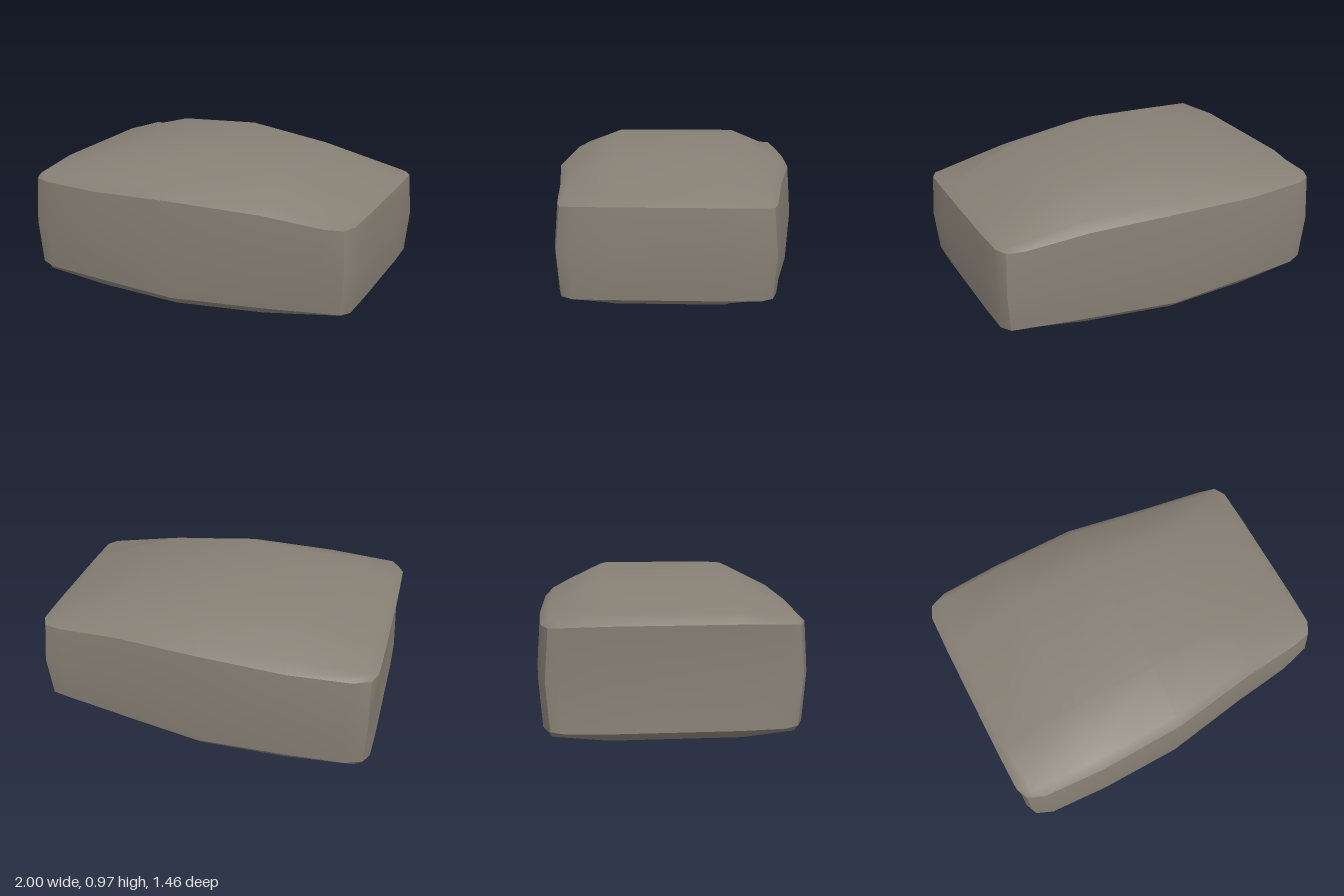
import * as THREE from 'three';

const TOP = 0.975; // overall height, used to mirror the crown downward

// Half cross-sections along x: rim, shoulder and crown points [x, y, z]
const SECTIONS = [
  [[-0.965, 0.76, 0.65], [-0.995, 0.765, 0.58], [-1, 0.77, 0.34]],
  [[-0.87, 0.76, 0.69], [-0.92, 0.80, 0.64], [-0.95, 0.82, 0.35]],
  [[-0.52, 0.76, 0.71], [-0.52, 0.82, 0.655], [-0.52, 0.94, 0.365]],
  [[-0.02, 0.78, 0.70], [-0.02, 0.83, 0.65], [-0.02, 0.972, 0.365]],
  [[0.49, 0.76, 0.62], [0.49, 0.81, 0.57], [0.49, 0.92, 0.32]],
  [[0.84, 0.73, 0.58], [0.90, 0.75, 0.53], [0.93, 0.765, 0.29]],
  [[0.94, 0.73, 0.555], [0.975, 0.735, 0.49], [0.98, 0.735, 0.28]],
];

const flipY = ([x, y, z]) => [x, TOP - y, z];
const flipZ = ([x, y, z]) => [x, y, -z];

// Smooth panel from a grid of points; separate panels keep the edges between them sharp
function panel(name, rows, material) {
  const n = rows[0].length;
  const index = [];
  for (let v = 0; v < rows.length - 1; v++) {
    for (let u = 0; u < n - 1; u++) {
      const a = v * n + u, b = a + n;
      index.push(a, b, a + 1, b, b + 1, a + 1);
    }
  }
  const geometry = new THREE.BufferGeometry();
  geometry.setAttribute('position', new THREE.Float32BufferAttribute(rows.flat(2), 3));
  geometry.setIndex(index);
  geometry.computeVertexNormals();
  const mesh = new THREE.Mesh(geometry, material);
  mesh.name = name;
  return mesh;
}

// Wall rows: upper rim, bulged middle, lower rim
function wallRows(rim, bulge) {
  const middle = rim.map((p) => {
    const [x, , z] = bulge(p);
    return [x, TOP / 2, z];
  });
  return [rim, middle, rim.map(flipY)];
}

export function createModel() {
  const group = new THREE.Group();
  group.name = 'roundedBlock';
  const material = new THREE.MeshStandardMaterial({ color: 0x867f74 });

  // Domed top, rows running from back rim to front rim, and its mirror below
  const half = [0, 1, 2].map((i) => SECTIONS.map((s) => s[i]));
  const dome = [...half.map((row) => row.map(flipZ)), ...half.slice().reverse()];
  group.add(panel('topDome', dome, material));
  group.add(panel('bottomDome', dome.map((row) => row.map(flipY)).reverse(), material));

  // The walls lean slightly to +x and outward at mid height
  const bulge = ([x, y, z]) => {
    const shift = Math.abs(x) > 0.93 ? (x > 0 ? 0.018 : -0.008) : 0;
    const endShift = x < -0.97 ? 0.018 : shift;
    return [x + endShift, y, z + 0.02 * Math.sign(z)];
  };

  // Long side walls
  const front = wallRows(half[0], bulge);
  group.add(panel('frontWall', front, material));
  group.add(panel('backWall', front.map((row) => row.map(flipZ).reverse()), material));

  // End walls
  const endRim = (s) => [...s, ...s.map(flipZ).reverse()];
  const left = endRim(SECTIONS[SECTIONS.length - 1]);
  const right = endRim(SECTIONS[0]).reverse();
  group.add(panel('leftEnd', wallRows(left, bulge), material));
  group.add(panel('rightEnd', wallRows(right, bulge), material));

  return group;
}
